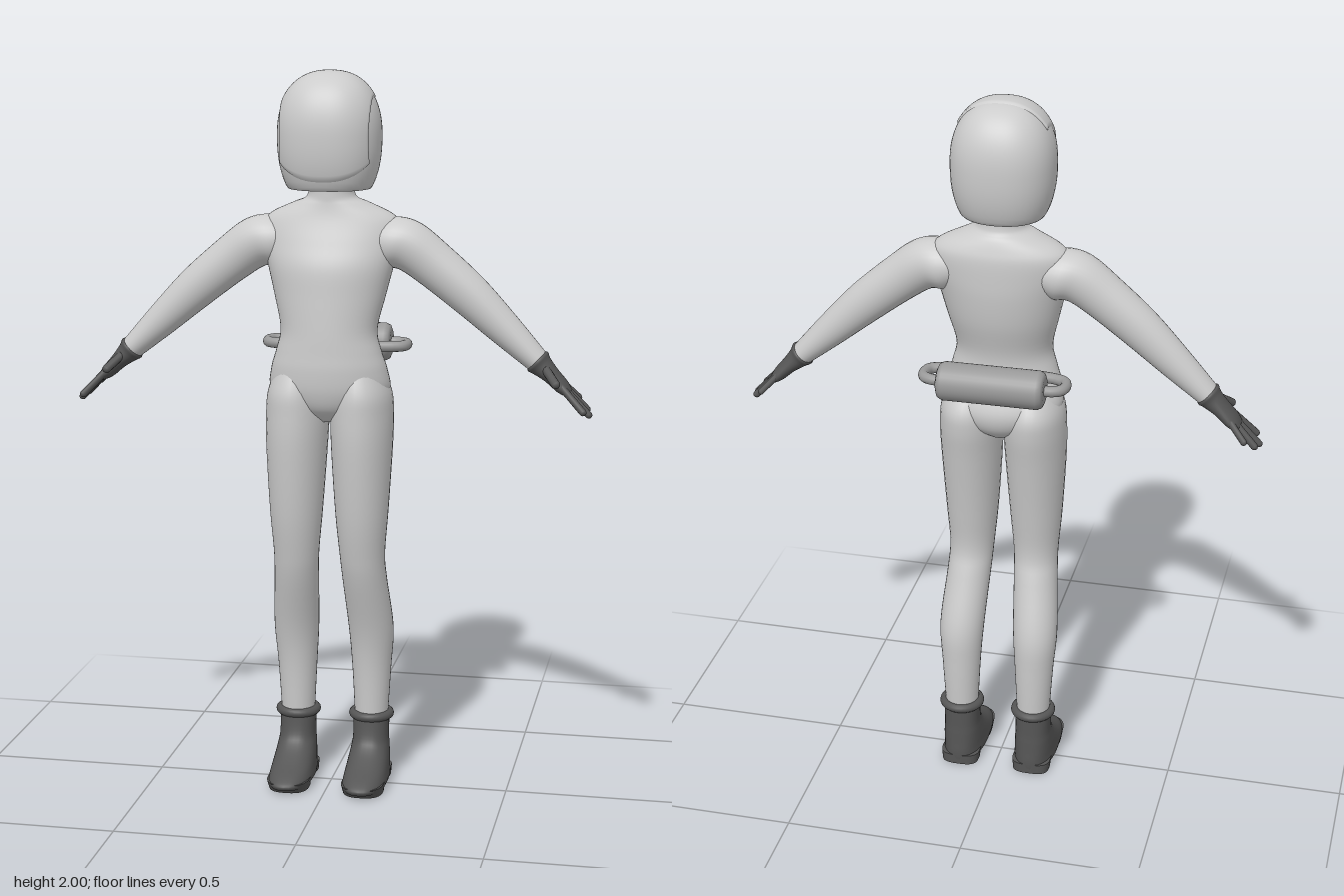
import * as THREE from 'three';

const V = (x, y, z) => new THREE.Vector3(x, y, z);
const material = (color) => new THREE.MeshStandardMaterial({ color });

// Ring of a loft: centre x, y, z, half sizes a and b, tilt about z
const band = (y, x, halfWidth, front, back) => [x, y, (front + back) / 2, halfWidth, (front - back) / 2, 0];

// Smooth skin through elliptical rings listed from top to bottom, capped at both ends
function loft(rings, { power = 2, steps = 5, segs = 32 } = {}) {
  const at = (i) => rings[Math.min(Math.max(i, 0), rings.length - 1)];
  const rows = [];
  for (let i = 0; i < rings.length - 1; i++) {
    for (let s = 0; s < steps; s++) {
      const t = s / steps;
      rows.push(at(i).map((p1, k) => {
        const p0 = at(i - 1)[k], p2 = at(i + 1)[k], p3 = at(i + 2)[k];
        return p1 + 0.5 * t * (p2 - p0 + t * (2 * p0 - 5 * p1 + 4 * p2 - p3 + t * (3 * (p1 - p2) + p3 - p0)));
      }));
    }
  }
  rows.push(at(rings.length));
  const pos = [], index = [];
  const addRing = ([x, y, z, a, b, tilt]) => {
    for (let j = 0; j < segs; j++) {
      const t = (j / segs) * Math.PI * 2, c = Math.cos(t), s = Math.sin(t);
      const u = a * Math.sign(c) * Math.abs(c) ** (2 / power);
      const v = b * Math.sign(s) * Math.abs(s) ** (2 / power);
      pos.push(x + u * Math.cos(tilt), y + u * Math.sin(tilt), z + v);
    }
  };
  rows.forEach(addRing);
  for (let i = 0; i < rows.length - 1; i++) {
    for (let j = 0; j < segs; j++) {
      const k = (j + 1) % segs, a = i * segs + j, b = i * segs + k;
      index.push(a, b, a + segs, b, b + segs, a + segs);
    }
  }
  [rows[0], rows[rows.length - 1]].forEach((row, end) => {
    const start = pos.length / 3;
    addRing(row);
    pos.push(row[0], row[1], row[2]);
    for (let j = 0; j < segs; j++) {
      const a = start + j, b = start + (j + 1) % segs;
      index.push(start + segs, end ? a : b, end ? b : a);
    }
  });
  const geo = new THREE.BufferGeometry();
  geo.setAttribute('position', new THREE.Float32BufferAttribute(pos, 3));
  geo.setIndex(index);
  geo.computeVertexNormals();
  return geo;
}

// Copy of a geometry on the other side of the body
function mirrored(geo) {
  const copy = geo.clone().scale(-1, 1, 1), idx = copy.index.array;
  for (let i = 0; i < idx.length; i += 3) [idx[i], idx[i + 1]] = [idx[i + 1], idx[i]];
  return copy;
}

// Rounded rod between two points
function rod(a, b, radius) {
  const d = b.clone().sub(a);
  const geo = new THREE.CapsuleGeometry(radius, d.length(), 5, 10);
  geo.applyQuaternion(new THREE.Quaternion().setFromUnitVectors(V(0, 1, 0), d.clone().normalize()));
  return geo.translate((a.x + b.x) / 2, (a.y + b.y) / 2, (a.z + b.z) / 2);
}

// Point on the helmet shell in a given direction
function helmetPoint(n, offset) {
  const p = 2.3;
  const k = (Math.abs(n.x) ** p + Math.abs(n.y) ** p + Math.abs(n.z) ** p) ** (-1 / p);
  const y = n.y * k * ((n.y < 0 ? 0.21 : 0.17) + offset);
  return V(n.x * k * (0.14 + offset), 1.83 + Math.max(y, -0.14), 0.025 + n.z * k * (0.135 + offset));
}

function reshape(geo, rule) {
  const pos = geo.attributes.position, v = V(0, 0, 0);
  for (let i = 0; i < pos.count; i++) {
    const q = rule(v.fromBufferAttribute(pos, i));
    pos.setXYZ(i, q.x, q.y, q.z);
  }
  geo.computeVertexNormals();
  return geo;
}

export function createModel() {
  const model = new THREE.Group();
  const suit = material(0xcccccc), dark = material(0x555555), metal = material(0x999999);
  const add = (name, geo, mat) => {
    const mesh = new THREE.Mesh(geo, mat);
    mesh.name = name;
    model.add(mesh);
  };
  const pair = (name, geo, mat) => {
    add('left' + name, geo, mat);
    add('right' + name, mirrored(geo), mat);
  };

  // Helmet shell and raised visor with its edge tucked into the shell
  add('helmet', reshape(new THREE.SphereGeometry(1, 48, 40), (v) => helmetPoint(v.normalize(), 0)), suit);
  const visorMat = material(0xcccccc);
  visorMat.side = THREE.DoubleSide;
  add('visor', reshape(new THREE.PlaneGeometry(2, 2, 40, 40), ({ x, y }) => {
    const yaw = x * 0.98, pitch = 0.62 + y * 1.2;
    const edge = Math.max(Math.abs(x), Math.abs(y)) > 0.99;
    const n = V(Math.sin(yaw), Math.cos(yaw) * Math.sin(pitch), Math.cos(yaw) * Math.cos(pitch));
    return helmetPoint(n, edge ? -0.003 : 0.004);
  }), visorMat);

  // Neck, torso and pelvis
  add('torso', loft([
    band(1.72, 0, 0.062, 0.06, -0.06), band(1.668, 0, 0.066, 0.062, -0.065),
    band(1.648, 0, 0.105, 0.064, -0.08), band(1.62, 0, 0.165, 0.07, -0.092),
    band(1.59, 0, 0.19, 0.08, -0.1), band(1.54, 0, 0.188, 0.1, -0.102),
    band(1.48, 0, 0.173, 0.122, -0.1), band(1.4, 0, 0.153, 0.13, -0.088),
    band(1.31, 0, 0.133, 0.137, -0.063), band(1.25, 0, 0.145, 0.14, -0.062),
    band(1.2, 0, 0.16, 0.142, -0.078), band(1.14, 0, 0.165, 0.136, -0.098),
    band(1.09, 0, 0.12, 0.115, -0.085), band(1.055, 0, 0.04, 0.07, -0.045),
  ], { segs: 48 }), suit);

  // Arms
  const deg = Math.PI / 180;
  pair('Arm', loft([
    [0.12, 1.55, -0.01, 0.055, 0.065, 78 * deg], [0.165, 1.543, -0.008, 0.072, 0.075, 74 * deg],
    [0.215, 1.533, -0.005, 0.069, 0.068, 64 * deg], [0.28, 1.487, -0.004, 0.064, 0.059, 54 * deg],
    [0.38, 1.405, -0.003, 0.058, 0.053, 50 * deg], [0.48, 1.312, -0.002, 0.046, 0.046, 47 * deg],
    [0.57, 1.227, 0, 0.032, 0.039, 45 * deg],
  ]), suit);

  // Gloves: cuff and palm, then thumb and four fingers
  pair('Glove', loft([
    [0.562, 1.235, 0, 0.03, 0.037, 45 * deg], [0.567, 1.23, 0, 0.037, 0.042, 45 * deg],
    [0.578, 1.218, 0, 0.031, 0.037, 45 * deg], [0.605, 1.193, 0, 0.023, 0.039, 45 * deg],
    [0.635, 1.163, 0, 0.019, 0.043, 45 * deg], [0.652, 1.147, 0, 0.011, 0.037, 45 * deg],
  ], { steps: 3 }), dark);
  [
    [0.59, 0.025, 0.622, 0.067, 0.012], [0.635, 0.031, 0.695, 0.052, 0.01], [0.64, 0.011, 0.708, 0.015, 0.01],
    [0.64, -0.011, 0.7, -0.022, 0.01], [0.63, -0.03, 0.675, -0.056, 0.009],
  ].forEach(([x0, z0, x1, z1, r], i) => {
    const y = (x) => 1.24 - (x - 0.565) * 1.04;
    pair(i ? 'Finger' + i : 'Thumb', rod(V(x0, y(x0), z0), V(x1, y(x1), z1), r), dark);
  });

  // Legs
  pair('Leg', loft([
    band(1.2, 0.085, 0.058, 0.115, -0.055), band(1.14, 0.09, 0.079, 0.138, -0.095),
    band(1.08, 0.09, 0.086, 0.142, -0.098), band(0.98, 0.091, 0.084, 0.14, -0.08),
    band(0.8, 0.092, 0.073, 0.122, -0.05), band(0.68, 0.093, 0.063, 0.1, -0.036),
    band(0.6, 0.097, 0.062, 0.08, -0.057), band(0.45, 0.107, 0.063, 0.032, -0.104),
    band(0.33, 0.107, 0.055, 0.01, -0.107), band(0.17, 0.106, 0.046, 0, -0.1),
  ]), suit);

  // Boots: upper, sole, heel and padded collar
  pair('Boot', loft([
    band(0.195, 0.106, 0.051, 0.001, -0.104), band(0.13, 0.106, 0.05, 0.012, -0.105),
    band(0.1, 0.106, 0.053, 0.035, -0.107), band(0.07, 0.106, 0.057, 0.085, -0.109),
    band(0.045, 0.106, 0.06, 0.14, -0.111), band(0.028, 0.106, 0.062, 0.165, -0.111),
    band(0.015, 0.106, 0.06, 0.16, -0.11),
  ], { power: 2.4 }), dark);
  pair('Sole', loft([band(0.03, 0.106, 0.06, 0.158, 0.005), band(0, 0.106, 0.056, 0.135, 0.01)],
    { power: 2.6, steps: 1 }), dark);
  pair('Heel', loft([band(0.03, 0.106, 0.056, -0.015, -0.11), band(0, 0.106, 0.053, -0.025, -0.109)],
    { power: 3, steps: 1 }), dark);
  pair('BootCollar', new THREE.TorusGeometry(0.051, 0.013, 12, 32).rotateX(Math.PI / 2)
    .translate(0.106, 0.19, -0.052), dark);

  // Tank across the lower back, with a hose from each end to the waist
  const tankProfile = [[0, -0.147], [0.035, -0.147], [0.047, -0.142], [0.053, -0.13],
    [0.053, 0.13], [0.047, 0.142], [0.035, 0.147], [0, 0.147]].map(([r, h]) => new THREE.Vector2(r, h));
  add('tank', new THREE.LatheGeometry(tankProfile, 32).rotateZ(Math.PI / 2).translate(0, 1.25, -0.122), metal);
  const hose = new THREE.CatmullRomCurve3([
    V(0.13, 1.25, -0.122), V(0.165, 1.25, -0.122), V(0.188, 1.25, -0.11), V(0.195, 1.25, -0.085),
    V(0.188, 1.25, -0.058), V(0.165, 1.25, -0.045), V(0.11, 1.25, -0.035),
  ]);
  pair('Hose', new THREE.TubeGeometry(hose, 32, 0.015, 12), metal);

  return model;
}
